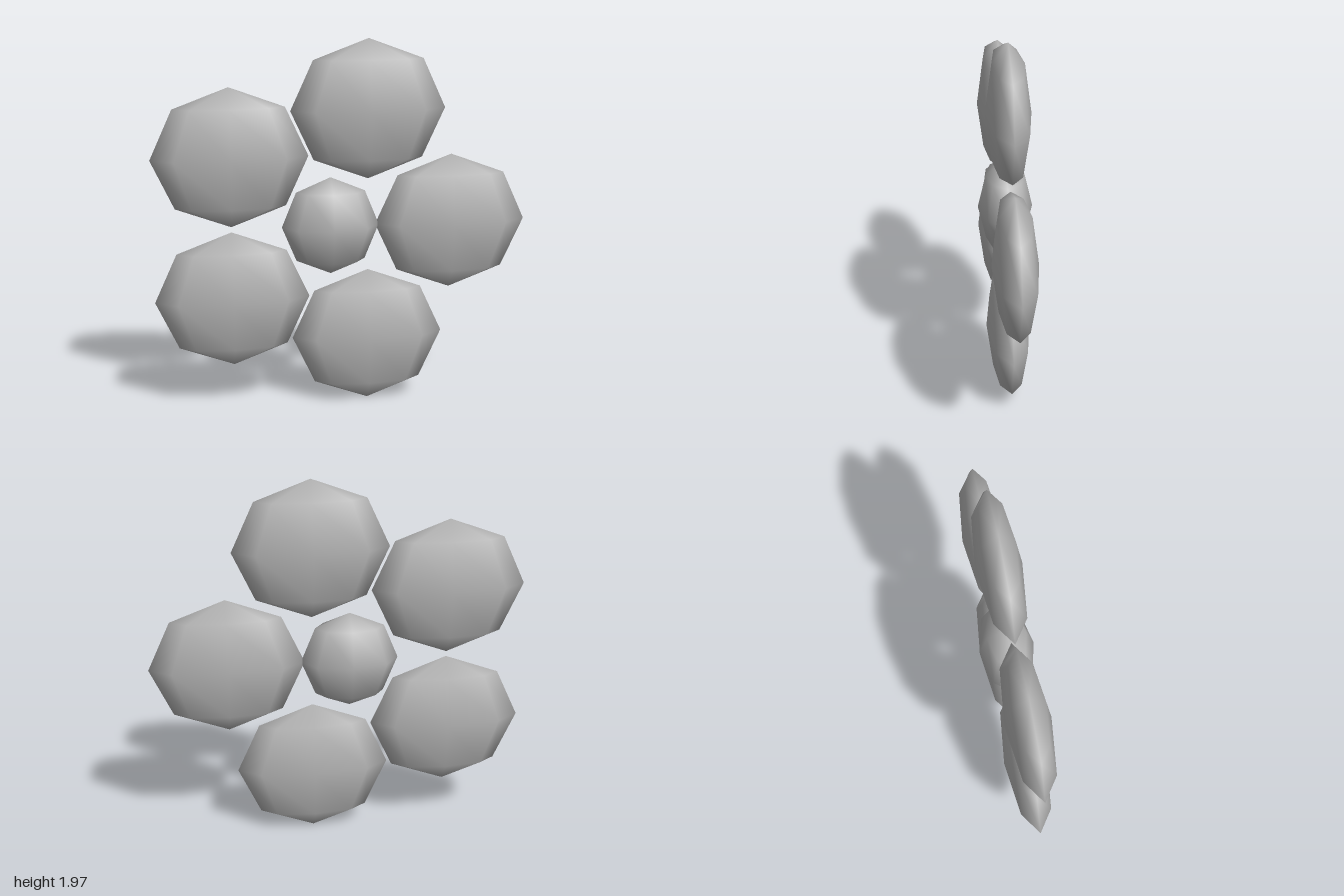
import * as THREE from 'three';

// Low-poly sphere flattened to the given half sizes, with smooth normals
function pebble(name, rx, ry, rz, material) {
  const geometry = new THREE.SphereGeometry(1, 8, 4);
  geometry.scale(rx, ry, rz);
  const mesh = new THREE.Mesh(geometry, material);
  mesh.name = name;
  return mesh;
}

export function createModel() {
  const group = new THREE.Group();
  group.name = 'flower';
  const grey = new THREE.MeshStandardMaterial({ color: 0xb4b4b4 });
  grey.name = 'grey';
  const cx = -0.065, cy = 0.987, ring = 0.65;

  // Thicker round middle
  const heart = pebble('flowerCentre', 0.26, 0.263, 0.146, grey);
  heart.position.set(cx, cy, 0);
  group.add(heart);

  // Five flat petals, evenly spaced and all kept upright
  for (let i = 0; i < 5; i++) {
    const a = (i * Math.PI * 2) / 5;
    const petal = pebble('petal' + (i + 1), 0.41, 0.368, 0.117, grey);
    petal.position.set(cx + ring * Math.cos(a), cy + ring * Math.sin(a), 0);
    group.add(petal);
  }
  return group;
}
